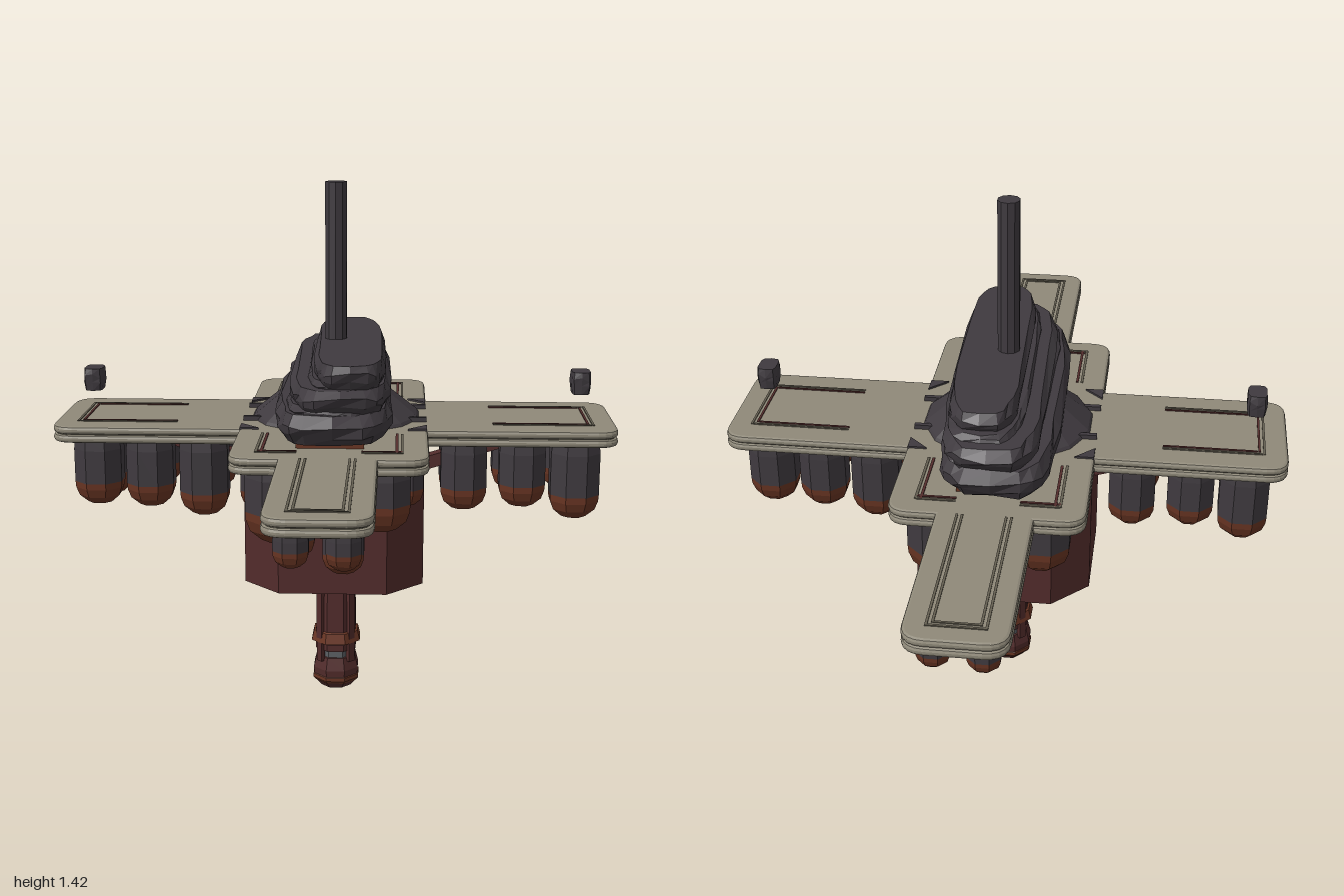
import * as THREE from 'three';

const mat = (name, color) => {
  const m = new THREE.MeshStandardMaterial({ color, flatShading: true });
  m.name = name;
  return m;
};

export function createModel() {
  const root = new THREE.Group();
  root.name = 'hangingStation';
  const plateMat = mat('stone plate', 0x8f8979);
  const grooveMat = mat('dark trim', 0x635e50);
  const darkMat = mat('dark slate', 0x3f3a3f);
  const redMat = mat('deep red', 0x522c2b);
  const rustMat = mat('rust', 0x693523);
  const glassMat = mat('grey window', 0x5c6064);

  const add = (name, geo, m, x = 0, y = 0, z = 0, parent = root) => {
    const mesh = new THREE.Mesh(geo, m);
    mesh.name = name;
    mesh.position.set(x, y, z);
    parent.add(mesh);
    return mesh;
  };
  const box = (name, w, h, d, m, x, y, z) => add(name, new THREE.BoxGeometry(w, h, d), m, x, y, z);
  const lathe = (pts, sides, start = 0) =>
    new THREE.LatheGeometry(pts.map(p => new THREE.Vector2(...p)), sides, start);

  // Stepped cross outline, outer corners rounded and inner corners sharp
  const quadrant = [[0.747, 0.187, 1], [0.247, 0.187, 0], [0.247, 0.498, 1], [0.122, 0.498, 0], [0.122, 1, 1]];
  function crossShape(inset) {
    const q = quadrant.map(([x, y, r]) => [x - inset, y - inset, r]);
    const flip = (sx, sy) => q.map(([x, y, r]) => [x * sx, y * sy, r]);
    const pts = [...q, ...flip(-1, 1).reverse(), ...flip(-1, -1), ...flip(1, -1).reverse()];
    const shape = new THREE.Shape();
    pts.forEach(([x, y, r], i) => {
      const p = new THREE.Vector2(x, y);
      if (!r) { shape.lineTo(x, y); return; }
      const toward = j => {
        const n = pts[(j + pts.length) % pts.length];
        return p.clone().add(new THREE.Vector2(n[0] - x, n[1] - y).setLength(0.05));
      };
      const a = toward(i - 1), b = toward(i + 1);
      if (i === 0) shape.moveTo(a.x, a.y); else shape.lineTo(a.x, a.y);
      shape.quadraticCurveTo(x, y, b.x, b.y);
    });
    shape.closePath();
    return shape;
  }
  const slab = (name, inset, y, h, bevel, m) => {
    const geo = new THREE.ExtrudeGeometry(crossShape(inset + bevel), {
      depth: h - 2 * bevel, bevelEnabled: bevel > 0, bevelSize: bevel,
      bevelThickness: bevel, bevelSegments: 2, curveSegments: 5,
    });
    add(name, geo.rotateX(-Math.PI / 2), m, 0, y + bevel, 0);
  };
  slab('lowerDeck', 0, 0.748, 0.021, 0.008, plateMat);
  slab('deckGroove', 0.008, 0.766, 0.008, 0, grooveMat);
  slab('upperDeck', 0, 0.771, 0.021, 0.008, plateMat);

  // Double line trim on the deck, red on some inner lines
  const line = (w, d, x, z, m = grooveMat) => box('deckTrim', w, 0.005, d, m, x, 0.792, z);
  for (const s of [-1, 1]) {
    for (const o of [0, 0.013]) {
      line(0.14 - 2 * o, 0.006, 0, s * (0.945 - o));
      line(0.006, 0.23 - 2 * o, s * (0.685 - o), 0, o ? redMat : grooveMat);
      for (const t of [-1, 1]) {
        line(0.006, 0.45 - o, t * (0.067 - o), s * (0.72 - o / 2));
        line(0.26 - o, 0.006, s * (0.55 - o / 2), t * (0.113 - o), o ? redMat : grooveMat);
        line(0.007, 0.2, s * (0.18 - o), t * 0.335, o ? redMat : grooveMat);
        line(0.1, 0.007, s * 0.13, t * (0.435 - o), o ? redMat : grooveMat);
      }
    }
    for (const t of [-1, 1]) {
      // Triangular gussets and ribs around the mound
      const tri = new THREE.Shape([[0.195, 0.19], [0.245, 0.14], [0.245, 0.19]]
        .map(([x, y]) => new THREE.Vector2(x * s, y * t)));
      add('moundGusset', new THREE.ExtrudeGeometry(tri, { depth: 0.008, bevelEnabled: false })
        .rotateX(-Math.PI / 2), darkMat, 0, 0.789, 0);
      box('moundRib', 0.05, 0.014, 0.014, darkMat, s * 0.22, 0.797, t * 0.08);
    }
  }

  // Mound and mast
  add('mound', lathe([[0.235, 0.785], [0.225, 0.8], [0.15, 0.86], [0.08, 0.91], [0, 0.92]], 14), darkMat);
  add('mast', new THREE.CylinderGeometry(0.03, 0.03, 0.63, 10), darkMat, 0, 1.105, 0);

  // Layered rock: boxy oval rings with repeatable roughness
  const rough = (a, b, c) => {
    const n = Math.sin(a * 127.1 + b * 311.7 + c * 74.7) * 43758.5453;
    return n - Math.floor(n) - 0.5;
  };
  function rock(hx, hz, h, sides, rows, amount) {
    const geo = new THREE.CylinderGeometry(1, 1, h, sides, rows);
    const p = geo.attributes.position;
    for (let i = 0; i < p.count; i++) {
      const x = p.getX(i), y = p.getY(i), z = p.getZ(i);
      if (Math.hypot(x, z) < 0.01) continue;
      const kx = Math.round(x * 100) / 100 + 0, kz = Math.round(z * 100) / 100 + 0;
      const ky = Math.round(y * 500) / 500;
      const edge = 1 - 0.1 * Math.pow(Math.abs(2 * y / h), 2);
      const f = edge * (1 + amount * rough(kx, kz, ky));
      const square = v => (Math.abs(v) < 1e-6 ? 0 : Math.sign(v) * Math.pow(Math.abs(v), 0.5));
      const lift = Math.abs(y) < h * 0.45 ? amount * 0.15 * rough(kz, kx, ky + 3) : 0;
      // Pull the depth in with the same absolute step as the width, so ends stay blunt
      p.setXYZ(i, square(x) * f * hx, y + lift, square(z) * (hz - (1 - f) * Math.min(hz, hx * 2)));
    }
    geo.computeVertexNormals();
    return geo;
  }
  [
    [0.152, 0.465, 0.075, 0.0, 0.847, 0.0],
    [0.12, 0.435, 0.03, 0.005, 0.884, 0.0],
    [0.13, 0.455, 0.06, 0.015, 0.914, -0.005],
    [0.1, 0.41, 0.03, 0.03, 0.943, 0.0],
    [0.092, 0.405, 0.06, 0.04, 0.973, 0.025],
  ].forEach(([hx, hz, h, x, y, z], i) => {
    const m = add('rockLayer', rock(hx, hz, h, 26, 3, 0.08), darkMat, x, y, z);
    m.rotation.y = [0.02, -0.02, 0.03, 0.02, 0.03][i];
  });
  box('rockFooting', 0.17, 0.026, 0.78, rustMat, 0, 0.803, 0);
  for (const s of [-1, 1]) add('floatingStone', rock(0.027, 0.038, 0.06, 10, 3, 0.1), darkMat, s * 0.66, 0.888, 0);

  // Central core: square block with cut corners
  const core = new THREE.Shape();
  const a = 0.24, c = 0.143;
  [[a, -c], [a, c], [c, a], [-c, a], [-a, c], [-a, -c], [-c, -a], [c, -a]]
    .forEach(([x, y], i) => (i ? core.lineTo(x, y) : core.moveTo(x, y)));
  core.closePath();
  add('core', new THREE.ExtrudeGeometry(core, { depth: 0.39, bevelEnabled: false }).rotateX(-Math.PI / 2), redMat, 0, 0.358, 0);

  // Lower spire with rust bands, window ring and rounded foot
  const turn = Math.PI / 8;
  add('spireShaft', lathe([[0.06, 0.16], [0.058, 0.36]], 8, turn), redMat);
  add('spireBand', lathe([[0.05, 0.138], [0.073, 0.146], [0.066, 0.175], [0.05, 0.182]], 8, turn), rustMat);
  add('spireWindows', lathe([[0.052, 0.09], [0.052, 0.145]], 8, turn), glassMat);
  add('spireWindowBar', lathe([[0.05, 0.118], [0.06, 0.121], [0.06, 0.14], [0.05, 0.143]], 8, turn), redMat);
  add('spireFoot', lathe([[0, 0.002], [0.045, 0.008], [0.064, 0.03], [0.067, 0.065], [0.058, 0.1], [0, 0.104]], 8, turn), redMat);
  add('spireFootBand', lathe([[0.062, 0.026], [0.068, 0.034], [0.068, 0.044], [0.062, 0.048]], 8, turn), rustMat);
  for (let i = 0; i < 4; i++) {
    const t = i * Math.PI / 2 + Math.PI / 4;
    const rib = box('spireRib', 0.02, 0.27, 0.014, redMat, Math.sin(t) * 0.058, 0.225, Math.cos(t) * 0.058);
    rib.rotation.y = t;
  }

  // Hanging towers: slate shaft with a rust rounded tip
  function pod(x, z, r, bottom) {
    const g = new THREE.Group();
    g.name = 'hangingTower';
    g.position.set(x, 0, z);
    root.add(g);
    const tip = bottom + r * 0.95, e = Math.PI / 8;
    add('towerShaft', lathe([[r, tip], [r, 0.72], [r * 0.94, 0.752]], 8, e), darkMat, 0, 0, 0, g);
    add('towerTip', lathe([[0, bottom], [r * 0.5, bottom + r * 0.06], [r * 0.85, bottom + r * 0.36],
      [r * 0.98, bottom + r * 0.7], [r, tip]], 8, e), rustMat, 0, 0, 0, g);
  }
  const wide = [[0.64, 0.1, 0.07, 0.54], [0.5, 0.1, 0.066, 0.57], [0.345, 0.1, 0.066, 0.56],
    [0.635, -0.1, 0.068, 0.565], [0.495, -0.1, 0.068, 0.56], [0.35, -0.1, 0.07, 0.537]];
  const narrow = [[0.055, 0.9, 0.042, 0.65], [0.05, 0.8, 0.05, 0.61], [0.06, 0.705, 0.042, 0.65],
    [0.05, 0.61, 0.046, 0.63], [0.06, 0.52, 0.042, 0.65],
    [-0.06, 0.9, 0.042, 0.655], [-0.055, 0.79, 0.044, 0.645], [-0.06, 0.7, 0.042, 0.65],
    [-0.055, 0.61, 0.046, 0.62], [-0.06, 0.52, 0.042, 0.65]];
  const corner = [[0.13, 0.375, 0.078, 0.58], [-0.13, 0.37, 0.088, 0.547], [0.19, 0.25, 0.05, 0.61], [-0.19, 0.25, 0.05, 0.6]];
  for (const s of [-1, 1])
    for (const [x, z, r, b] of [...wide, ...narrow, ...corner]) pod(x * s, z * s, r, b);

  // Support struts between core and deck arms
  for (const s of [-1, 1]) {
    const brace = box('armBrace', 0.26, 0.035, 0.04, redMat, s * 0.34, 0.69, 0);
    brace.rotation.z = s * 0.3;
  }
  return root;
}
